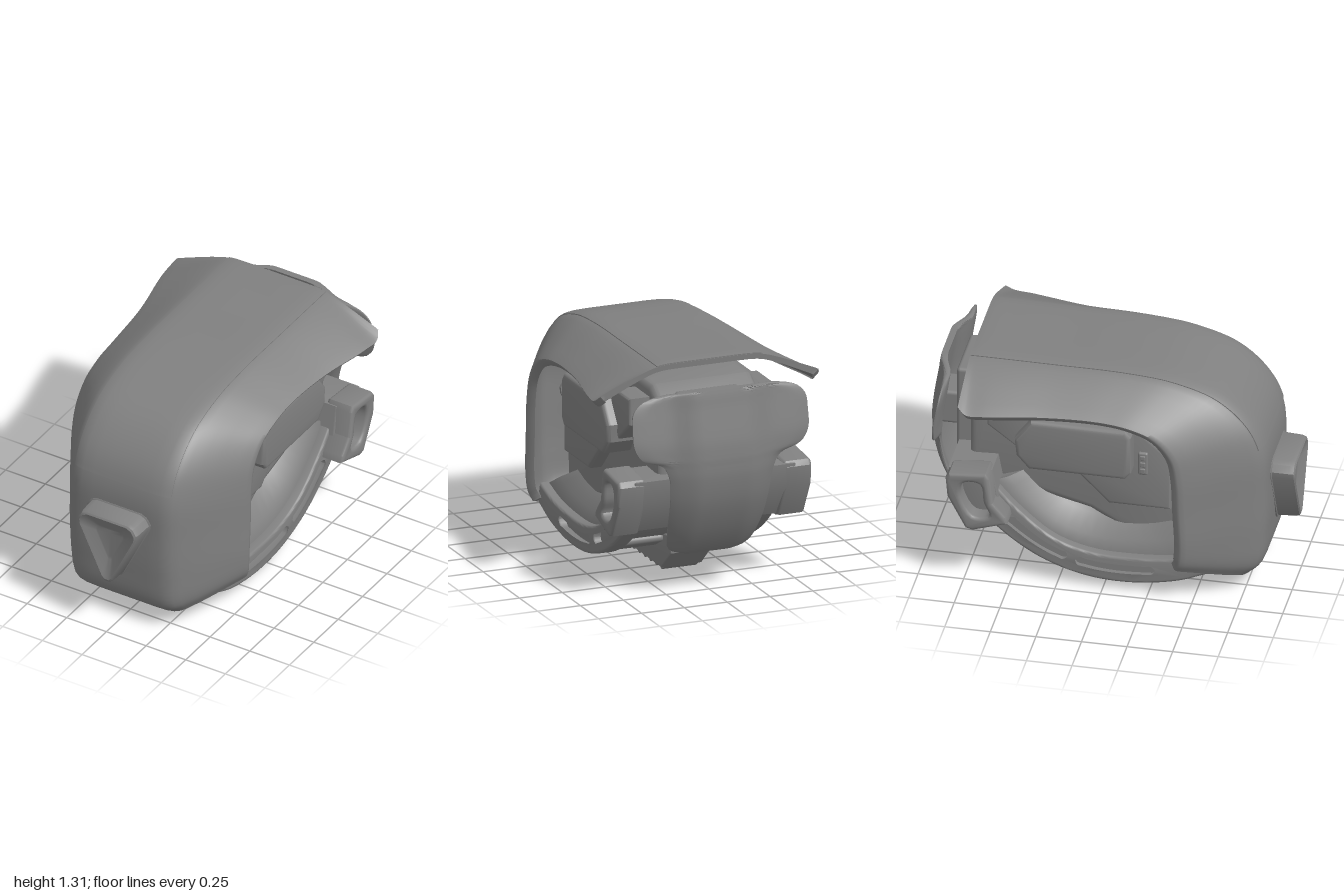
import * as THREE from 'three';
import { mergeVertices, toCreasedNormals } from 'three/addons/utils/BufferGeometryUtils.js';
import { RoundedBoxGeometry } from 'three/addons/geometries/RoundedBoxGeometry.js';

const V = (x, y, z) => new THREE.Vector3(x, y, z);
const darkGrey = new THREE.MeshStandardMaterial({ color: 0x808080, side: THREE.DoubleSide });

// Skin closed even-length loops; each end is closed along the line midway between paired points.
function loft(loops, crease = 0.6) {
  const n = loops[0].length;
  const cap = (l) => l.map((p, j) => p.clone().lerp(l[n - 1 - j], 0.5));
  const rows = [cap(loops[0]), ...loops, cap(loops[loops.length - 1])];
  const pos = rows.flat().flatMap((p) => [p.x, p.y, p.z]);
  const idx = [];
  let volume = 0;
  const tri = (a, b, c) => {
    idx.push(a, b, c);
    const [p, q, r] = [a, b, c].map((i) => V().fromArray(pos, i * 3));
    volume += p.dot(q.cross(r));
  };
  for (let i = 0; i < rows.length - 1; i++) {
    for (let j = 0; j < n; j++) {
      const a = i * n + j, b = i * n + (j + 1) % n;
      tri(a, b, b + n);
      tri(a, b + n, a + n);
    }
  }
  if (volume < 0) idx.reverse();
  const geo = new THREE.BufferGeometry();
  geo.setAttribute('position', new THREE.Float32BufferAttribute(pos, 3));
  geo.setIndex(idx);
  return toCreasedNormals(mergeVertices(geo, 1e-4), crease);
}

// Extrude a (z, y) side outline from x0 to x1, with optional holes and softened edges.
function sideExtrude(pts, x0, x1, bevel = 0.015, holes = []) {
  const v2 = (l) => l.map(([z, y]) => new THREE.Vector2(z, y));
  const shape = new THREE.Shape(v2(pts));
  holes.forEach((h) => shape.holes.push(new THREE.Path(v2(h))));
  const geo = new THREE.ExtrudeGeometry(shape, {
    depth: x1 - x0 - 2 * bevel, bevelEnabled: bevel > 0, bevelThickness: bevel,
    bevelSize: bevel, bevelOffset: -bevel, bevelSegments: 3,
  });
  geo.rotateY(-Math.PI / 2).translate(x1 - bevel, 0, 0);
  return toCreasedNormals(geo, 0.6);
}

// Smooth a closed outline of 2D points
const smooth = (pts, n = 28) => new THREE.CatmullRomCurve3(pts.map(([z, y]) => V(z, y, 0)), true)
  .getPoints(n).slice(0, -1).map((p) => [p.x, p.y]);

// Shell guide rails: spine z, y, then side edge z, y, x
const rails = [
  [0.77, 0.09, 0.41, 0.22, 0.53], [0.84, 0.16, 0.43, 0.27, 0.55], [0.865, 0.35, 0.44, 0.37, 0.56],
  [0.87, 0.6, 0.43, 0.58, 0.562], [0.86, 0.85, 0.42, 0.78, 0.562], [0.79, 1.02, 0.39, 0.92, 0.56],
  [0.62, 1.18, 0.3, 1.03, 0.56], [0.38, 1.265, 0.17, 1.085, 0.56], [0.1, 1.295, 0, 1.11, 0.56],
  [-0.3, 1.3, -0.3, 1.118, 0.585], [-0.6, 1.303, -0.6, 1.12, 0.645], [-0.72, 1.303, -0.71, 1.125, 0.655],
  [-0.755, 1.3, -0.755, 1.16, 0.635],
];
const spine = new THREE.CatmullRomCurve3(rails.map(([z, y]) => V(0, y, z)));
const edge = new THREE.CatmullRomCurve3(rails.map((r) => V(r[4], r[3], r[2])));

// Half profile: flat x, share of the way out to the edge, share of the way down to the edge
const halfShell = [[0.08, 0, 0], [0.17, 0, 0], [0.24, 0, 0.008], [0.28, 0, 0.03], [0.3, 0.05, 0.075],
  [0.3, 0.16, 0.15], [0.3, 0.35, 0.31], [0.3, 0.55, 0.5], [0.3, 0.8, 0.75], [0.3, 0.95, 0.9], [0.3, 1, 0.96], [0.3, 0.99, 1]];
const halfPanel = [[0.08, 0, 0], [0.17, 0, 0], [0.24, 0, 0.008], [0.28, 0, 0.03], [0.295, 0.03, 0.06]];

function shellLoop(t, half, lift, depth) {
  const s = spine.getPoint(t), e = edge.getPoint(t), d = spine.getTangent(t);
  const inward = V(0, d.z, -d.y);
  const side = (off, thin) => half.map(([x0, b, k]) => {
    const p = s.clone().lerp(e, k).addScaledVector(inward, off);
    p.x = x0 + b * (e.x - x0) - thin * k;
    return p;
  });
  const full = (h) => [...h.map((p) => V(-p.x, p.y, p.z)).reverse(), ...h];
  return [...full(side(-lift, 0)), ...full(side(depth, 0.03)).reverse()];
}
const shellSweep = (t0, t1, n, half, lift, depth) => loft(
  Array.from({ length: n + 1 }, (_, i) => shellLoop(t0 + (t1 - t0) * i / n, half, lift, depth)), 0.9);

// Jaw arc: outer and inner rails in (z, y)
const arc = (pts) => new THREE.CatmullRomCurve3(pts.map(([z, y]) => V(0, y, z)));
const jawOut = arc([[0.58, 0.16], [0.4, 0.09], [0.15, 0.05], [-0.1, 0.065], [-0.35, 0.15], [-0.58, 0.31], [-0.75, 0.5]]);
const jawIn = arc([[0.55, 0.27], [0.38, 0.225], [0.15, 0.205], [-0.07, 0.215], [-0.27, 0.28], [-0.46, 0.43], [-0.6, 0.58]]);
const jawPoint = (t, r) => jawOut.getPoint(t).lerp(jawIn.getPoint(t), r);
const band = (t0, t1, r0, r1, n) => {
  const nib = r0 > 0 ? 0.02 : 0;
  const run = (r) => Array.from({ length: n + 1 }, (_, i) => {
    const p = jawPoint(t0 + nib + (t1 - t0 - 2 * nib) * i / n, r);
    return [p.z, p.y];
  });
  const mid = (t) => { const p = jawPoint(t, (r0 + r1) / 2); return [p.z, p.y]; };
  return [...run(r0), mid(t1), ...run(r1).reverse(), mid(t0)];
};

export function createModel() {
  const group = new THREE.Group();
  const add = (name, geo, x = 0, y = 0, z = 0) => {
    const m = new THREE.Mesh(geo, darkGrey);
    m.name = name;
    m.position.set(x, y, z);
    group.add(m);
    return m;
  };
  const box = (w, h, d, r = 0.015) => new RoundedBoxGeometry(w, h, d, 3, r);
  const bothSides = (name, pts, x0, x1, bevel, holes) => {
    add('left' + name, sideExtrude(pts, x0, x1, bevel, holes));
    add('right' + name, sideExtrude(pts, -x1, -x0, bevel, holes));
  };

  // Outer shell and its raised middle panel
  add('shell', shellSweep(0, 1, 72, halfShell, 0, 0.03));
  add('shellPanel', shellSweep(0.352, 0.995, 48, halfPanel, 0.005, 0.015));

  // Triangular nose with a dished face on a low collar: rings of scale and z
  const corners = [[0.14, 0.22], [0.175, 0.205], [0.2, 0.165], [0.195, 0.13], [0.035, -0.205], [0.015, -0.225]];
  const triangle = [...corners, ...corners.map(([x, y]) => [-x, y]).reverse()];
  const ring = (s, z) => triangle.map(([x, y]) => V(x * s, 0.53 + 0.05 * (1 - s) + y * s, z));
  add('nose', loft([ring(1, 0.82), ring(1, 0.872), ring(0.96, 0.876), ring(0.94, 0.97), ring(0.91, 0.993), ring(0.86, 1),
    ring(0.78, 0.994), ring(0.45, 0.965), ring(0.4, 0.963)], 0.5));

  // Inner head under the shell
  add('innerHead', sideExtrude([[0.5, 0.2], [0.52, 0.85], [0.42, 1.08], [0.25, 1.16], [-0.64, 1.16], [-0.76, 1.08],
    [-0.76, 0.6], [-0.5, 0.5], [-0.1, 0.4], [0.25, 0.2]], -0.3, 0.3, 0.04));
  bothSides('Cheek', [[0.36, 0.5], [0.36, 0.83], [0.16, 1.0], [-0.1, 0.98], [-0.2, 0.72], [0.02, 0.5]], 0.28, 0.38, 0.02);
  bothSides('SideBlock', [[0.13, 1.02], [0.16, 0.98], [0.16, 0.76], [0.13, 0.72], [-0.4, 0.72], [-0.47, 0.8],
    [-0.48, 0.9], [-0.39, 1.02]], 0.29, 0.48, 0.025);
  bothSides('RearStrut', [[-0.38, 1.02], [-0.44, 1.09], [-0.64, 1.09], [-0.64, 0.94], [-0.48, 0.82]], 0.26, 0.42);
  for (const s of [-1, 1]) {
    add('cheekVent', box(0.03, 0.14, 0.055, 0.012), s * 0.38, 0.78, 0.21);
    for (let i = -1; i <= 1; i++) add('ventKey', box(0.02, 0.028, 0.03, 0.005), s * 0.394, 0.78 + i * 0.04, 0.21);
  }

  // Jaw bowl rising from the rims to the middle
  const bowl = [-0.39, -0.36, -0.28, -0.18, 0, 0.18, 0.28, 0.36, 0.39].map((x) => {
    const rise = Math.pow(Math.max(0, 1 - Math.abs(x) / 0.39), 0.6) * 0.75;
    const ts = Array.from({ length: 17 }, (_, i) => i / 16);
    const at = (t, r) => jawPoint(t, r).setX(x);
    return [...ts.map((t) => at(t, 0.22)),
      ...ts.map((t) => at(t, 0.9).lerp(V(x, 0.68, -0.12), rise)).reverse()];
  });
  add('jawBowl', loft(bowl, 0.8));

  // Jaw rims with two slots each
  bothSides('JawRim', band(0, 1, 0, 1, 36), 0.34, 0.44, 0.015,
    [band(0.23, 0.56, 0.27, 0.8, 10), band(0.57, 0.85, 0.27, 0.8, 10)].map((h) => smooth(h, 60)));

  // Pads under the jaw
  for (const s of [-1, 1]) {
    for (let i = 0; i < 5; i++) {
      const t = 0.18 + i * 0.165, p = jawPoint(t, 0.33), d = jawOut.getTangent(t);
      const pad = add('jawPad', box(0.25, 0.09, 0.13, 0.025), s * 0.235, p.y, p.z);
      pad.rotation.x = Math.atan2(d.y, -d.z);
    }
  }

  // Toothed sole
  const teeth = [];
  for (let i = 0; i < 10; i++) teeth.push([0.4 - i * 0.077, 0.025], [0.3615 - i * 0.077, 0.001]);
  add('sole', sideExtrude([[0.48, 0.11], [0.41, 0.025], [-0.37, 0.025], [-0.5, 0.14], [-0.5, 0.24], [-0.2, 0.2], [0.3, 0.16]], -0.12, 0.12, 0.008));
  add('soleTeeth', sideExtrude([[0.4, 0.06], ...teeth, [-0.37, 0.025], [-0.37, 0.06]], -0.1, 0.1, 0));

  // Ear blocks with an opening, joined by a bar behind the head
  bothSides('Ear', [[-0.62, 0.71], [-0.82, 0.69], [-0.84, 0.66], [-0.83, 0.55], [-0.73, 0.36], [-0.69, 0.35], [-0.5, 0.41],
    [-0.51, 0.45], [-0.58, 0.53], [-0.6, 0.68]], 0.4, 0.565, 0.02,
  [smooth([[-0.65, 0.64], [-0.74, 0.64], [-0.76, 0.57], [-0.69, 0.44], [-0.6, 0.45], [-0.63, 0.53]])]);
  add('earBar', sideExtrude([[-0.6, 0.69], [-0.84, 0.68], [-0.83, 0.55], [-0.72, 0.37], [-0.55, 0.42]], -0.47, 0.47, 0.01));

  // Rear post, joint and back plate
  add('rearPost', box(0.37, 0.52, 0.16, 0.02), 0, 0.865, -0.775);
  add('plateLink', box(0.2, 0.2, 0.16, 0.02), 0, 0.82, -0.89);
  const joint = new THREE.CylinderGeometry(0.045, 0.045, 0.3, 20).rotateZ(Math.PI / 2);
  add('lowerJoint', joint, 0, 0.3, -0.72);
  const plate = new THREE.CatmullRomCurve3([ // half width, y, z
    [0.14, 0.215, -0.735], [0.23, 0.25, -0.775], [0.27, 0.38, -0.865], [0.285, 0.55, -0.945], [0.3, 0.7, -0.98],
    [0.34, 0.78, -0.985], [0.46, 0.83, -0.985], [0.505, 0.9, -0.98], [0.51, 1.0, -0.965], [0.5, 1.09, -0.95],
    [0.44, 1.145, -0.942], [0.18, 1.185, -0.935]].map((p) => V(...p)));
  add('backPlate', loft(Array.from({ length: 45 }, (_, i) => {
    const p = plate.getPoint(i / 44);
    const run = (thick) => Array.from({ length: 25 }, (_, j) => {
      const u = j / 12 - 1, x = u * p.x;
      const bend = 0.055 * THREE.MathUtils.smoothstep(Math.abs(x), 0.13, 0.32);
      const taper = Math.sqrt(Math.max(0.05, 1 - u ** 8));
      return V(x, p.y, p.z + 0.006 + bend + thick * 0.018 * taper);
    });
    return [...run(-1), ...run(1).reverse()];
  })));
  return group;
}
